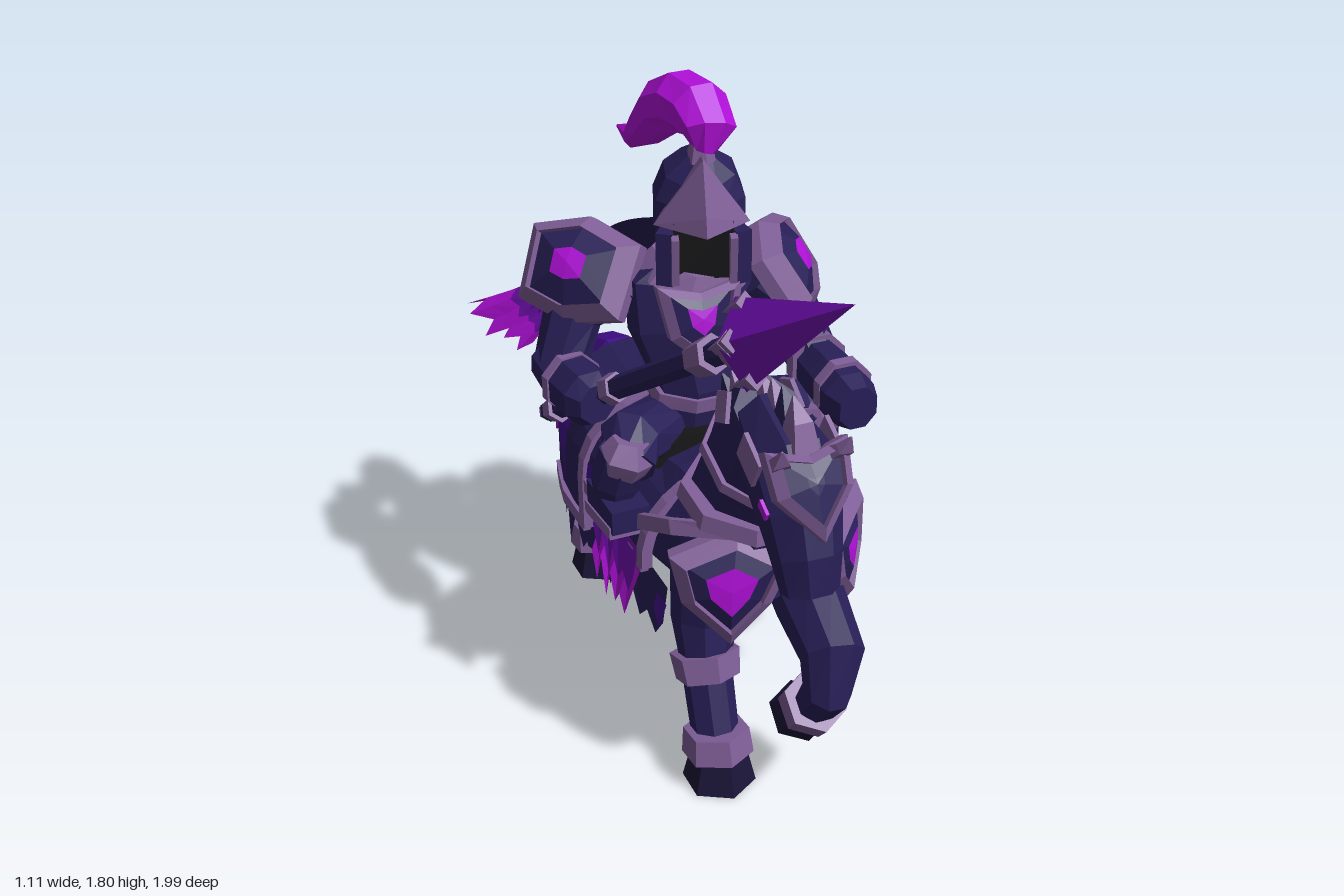
import * as THREE from 'three';
import { ConvexGeometry } from 'three/addons/geometries/ConvexGeometry.js';

const V = (x, y, z) => new THREE.Vector3(x, y, z);
const X = V(1, 0, 0), Z = V(0, 0, 1);

export function createModel() {
  const root = new THREE.Group();
  root.name = 'mountedKnight';
  const mat = (name, color) => Object.assign(
    new THREE.MeshStandardMaterial({ color, flatShading: true, side: THREE.DoubleSide }), { name });
  const navy = mat('navy armour', 0x281f57), lilac = mat('lilac trim', 0x805f98), hoofMat = mat('dark hoof', 0x1b1538),
    black = mat('black', 0x161618), purple = mat('deep purple', 0x430f8c), violet = mat('violet', 0x7010b0),
    magenta = mat('magenta', 0xb010d8);

  const add = (name, geo, m, parent = root) => {
    const mesh = new THREE.Mesh(geo, m);
    mesh.name = name;
    parent.add(mesh);
    return mesh;
  };
  const build = (pos, idx) => {
    const g = new THREE.BufferGeometry();
    g.setAttribute('position', new THREE.Float32BufferAttribute(pos, 3));
    g.setIndex(idx);
    g.computeVertexNormals();
    return g;
  };

  // Closed tube through rows [x, y, z, halfWidth, halfHeight]; an array of materials colours each segment
  function loft(name, m, rows, sides = 8, parent = root, ref = X) {
    const p = rows.map(r => V(r[0], r[1], r[2])), pos = [], idx = [], n = rows.length;
    rows.forEach((r, i) => {
      const t = p[Math.min(i + 1, n - 1)].clone().sub(p[Math.max(i - 1, 0)]).normalize();
      const s = ref.clone().addScaledVector(t, -ref.dot(t)).normalize(), u = t.clone().cross(s);
      for (let j = 0; j < sides; j++) {
        const a = (j + 0.5) / sides * Math.PI * 2;
        const q = p[i].clone().addScaledVector(s, r[3] * Math.cos(a)).addScaledVector(u, (r[4] ?? r[3]) * Math.sin(a));
        pos.push(q.x, q.y, q.z);
      }
    });
    for (let i = 0; i < n - 1; i++) for (let j = 0; j < sides; j++) {
      const a = i * sides + j, b = i * sides + (j + 1) % sides;
      idx.push(a, b, b + sides, a, b + sides, a + sides);
    }
    const e = (n - 1) * sides;
    for (let j = 1; j < sides - 1; j++) idx.push(e, e + j, e + j + 1);
    for (let j = 1; j < sides - 1; j++) idx.push(0, j + 1, j);
    const g = build(pos, idx);
    if (Array.isArray(m)) {
      m.forEach((_, i) => g.addGroup(i * sides * 6, sides * 6, i));
      g.addGroup((n - 1) * sides * 6, Infinity, m.length - 1);
    }
    return add(name, g, m, parent);
  }

  // Open surface from f(u, v)
  function sheet(name, m, f, nu, nv) {
    const pos = [], idx = [];
    for (let j = 0; j <= nv; j++) for (let i = 0; i <= nu; i++) pos.push(...f(i / nu, j / nv, i).toArray());
    for (let j = 0; j < nv; j++) for (let i = 0; i < nu; i++) {
      const a = j * (nu + 1) + i, b = a + nu + 1;
      idx.push(a, b, a + 1, a + 1, b, b + 1);
    }
    return add(name, build(pos, idx), m);
  }

  // Domed armour plate: bright centre, dark field, raised rim
  function shield(name, outline, depth, at, dir, gem = 0.32, gemMat = magenta) {
    const g = new THREE.Group(), n = outline.length;
    g.name = name;
    const ring = (s, z) => outline.map(([x, y]) => [x * s, y * s, z]);
    const rings = [ring(0, depth), ring(gem, depth * 0.9), ring(0.72, depth * 0.5), ring(0.74, depth * 0.5 + 0.02), ring(1, 0.015), ring(1, -0.025), ring(0, 0)];
    [gemMat, navy, lilac, lilac, lilac, lilac].forEach((m, k) => {
      const pos = [...rings[k], ...rings[k + 1]].flat(), idx = [];
      for (let j = 0; j < n; j++) {
        const b = (j + 1) % n;
        idx.push(j, j + n, b + n, j, b + n, b);
      }
      add(name + 'Layer', build(pos, idx), m, g);
    });
    g.position.set(...at);
    g.lookAt(at[0] + dir[0], at[1] + dir[1], at[2] + dir[2]);
    root.add(g);
  }
  const box = (name, m, size, at, rot = [0, 0, 0], parent = root) => {
    const b = add(name, new THREE.BoxGeometry(...size), m, parent);
    b.position.set(...at);
    b.rotation.set(...rot);
  };

  // Horse body, neck and head
  loft('horseBody', navy, [[-.08, .67, -.58, .1, .1], [-.08, .65, -.49, .21, .19], [-.08, .62, -.3, .26, .22], [-.08, .62, 0, .26, .2],
    [-.08, .65, .25, .25, .22], [-.1, .68, .42, .21, .2], [-.1, .7, .55, .12, .12]], 10);
  loft('horseNeck', navy, [[-.1, .7, .36, .18, .2], [-.1, .88, .43, .15, .18], [-.12, 1.03, .51, .12, .17], [-.13, 1.15, .59, .09, .12]]);
  loft('horseHead', navy, [[-.13, 1.13, .55, .085, .1], [-.13, 1.07, .69, .115, .135], [-.13, .97, .76, .105, .115], [-.135, .88, .81, .09, .09], [-.135, .79, .835, .075, .07]]);
  shield('horseFacePlate', [[-.11, .1], [0, .07], [.11, .1], [.1, -.02], [0, -.14], [-.1, -.02]], .035, [-.13, 1.08, .82], [0, .5, .9], .2, navy);
  loft('neckCollar', lilac, [[-.1, .81, .42, .2, .21], [-.1, .855, .425, .19, .2]]);
  loft('neckBand', lilac, [[-.11, .96, .475, .15, .185], [-.11, .985, .485, .145, .18]]);
  for (const s of [-1, 1]) {
    loft('horseEar', lilac, [[-.13 + s * .06, 1.11, .76, .04, .03], [-.13 + s * .085, 1.16, .82, .03, .02], [-.13 + s * .09, 1.2, .84, .003]], 4);
    box('cheekPlate', lilac, [.012, .09, .1], [-.13 + s * .108, 1.11, .7], [.5, 0, 0]);
    box('horseEye', magenta, [.009, .025, .045], [-.13 + s * .105, 1.01, .775], [.5, 0, 0]);
    box('manePlate', lilac, [.012, .08, .07], [-.125 + s * .095, 1.15, .5], [-.4, 0, s * .25]);
  }
  for (let i = 0; i < 8; i++) {
    const k = i / 7, z = .74 - .42 * k, y = 1.2 - .14 * k * k;
    loft('maneSpike', i % 3 === 1 ? navy : lilac, [[-.13 + .02 * k, y - .08, z + .02, .05, .06], [-.13 + .02 * k, y + .01, z, .035, .045], [-.13, y + .065, z - .03, .003]], 4);
  }

  // Limbs with hooves and bands
  const cuff = (name, m, r0, r1, h, at, tilt = 0) => {
    const c = add(name, new THREE.CylinderGeometry(r0, r1, h, 6), m);
    c.position.set(...at);
    c.rotation.x = tilt;
  };
  const legs = [
    ['rightForeleg', -.245, .53, [[-.2, .64, .36, .1, .14], [-.225, .44, .38, .09, .1], [-.24, .32, .43, .07, .07], [-.245, .08, .52, .065, .065]]],
    ['leftHindLeg', .1, -.18, [[.05, .62, -.36, .12, .18], [.09, .42, -.36, .1, .14], [.1, .27, -.29, .07, .085], [.1, .08, -.19, .065, .065]]],
    ['rightHindLeg', -.18, -.59, [[-.18, .62, -.4, .13, .17], [-.19, .38, -.47, .1, .13], [-.185, .25, -.54, .07, .085], [-.18, .08, -.58, .065, .065]]],
  ];
  for (const [name, x, z, rows] of legs) {
    loft(name, navy, rows);
    cuff(name + 'Hoof', hoofMat, .078, .102, .1, [x, .05, z]);
    cuff(name + 'Band', lilac, .092, .1, .075, [x, .12, z - .015], -.15);
  }
  cuff('kneeBand', lilac, .098, .09, .075, [-.24, .32, .43], -.35);
  loft('leftForeleg', navy, [[.02, .64, .38, .1, .14], [0, .55, .58, .095, .11], [-.02, .5, .75, .085, .09], [-.04, .4, .765, .065, .07], [-.05, .29, .69, .06, .055]]);
  cuff('leftForelegBand', lilac, .088, .085, .07, [-.05, .315, .7], .7);
  loft('leftForelegHoof', hoofMat, [[-.05, .3, .69, .065, .065], [-.05, .24, .63, .09, .085]], 6);

  // Tail
  loft('tail', [purple, purple, violet, magenta, magenta], [[-.08, .72, -.51, .06], [-.08, .705, -.62, .1, .1], [-.08, .64, -.75, .12, .125],
    [-.1, .53, -.85, .105, .11], [-.14, .43, -.92, .075, .075], [-.19, .32, -.985, .004]], 8);

  // Saddle cloths: over the back, then hanging straight down
  const taper = z => 1 - Math.max(0, -z - .4) * .9;
  const cloth = (drop, z0, z1, out = 0) => (u, v) => {
    const a = u * 2 - 1, m = Math.abs(a) * (Math.PI / 2 + drop), z = z0 + (z1 - z0) * v, r = (.277 + out) * taper(z);
    return V(-.08 + Math.sign(a) * r * Math.sin(Math.min(m, Math.PI / 2)),
      m < Math.PI / 2 ? .61 + (.225 + out) * Math.cos(m) : .61 - (m - Math.PI / 2) * .3, z);
  };
  const trim = (name, f, path, n, w, h, ref) => loft(name, lilac, Array.from({ length: n + 1 }, (_, i) => {
    const p = f(...path(i / n));
    return [p.x, p.y, p.z, w, h];
  }), 4, root, ref);
  const rear = cloth(.6, -.2, -.56), front = cloth(.1, .28, -.2);
  sheet('rearCloth', navy, rear, 16, 3);
  sheet('frontCloth', navy, front, 16, 3);
  trim('rearClothFrontTrim', rear, t => [t, 0], 16, .03, .022, Z);
  trim('frontClothTrim', front, t => [t, 0], 16, .028, .022, Z);
  for (const [s, u] of [[-1, 0], [1, 1]]) {
    trim('rearHem', rear, t => [u, t], 4, .016, .03, X);
    trim('frontHem', front, t => [u, t], 3, .016, .03, X);
    const patch = cloth(.6, -.36, -.54, .006), spot = cloth(.1, -.06, -.17, .006);
    sheet('rumpPatch', purple, (a, v) => patch(.5 + s * (.24 + (.2 - .14 * v) * a), v), 3, 2);
    sheet('clothSpot', purple, (a, v) => spot(.5 + s * (.4 + .05 * a * (.4 + v)), v), 1, 1);
    loft('chestStrap', lilac, [[-.08 + s * .275, .7, .24, .014, .03], [-.1 + s * .23, .78, .42, .014, .03], [-.1 + s * .08, .81, .57, .014, .03]], 4);
    // Torn skirts under the cloth
    const skirt = (name, m, x, flare, z0, z1, n, top, low, slope) => sheet(name, m, (a, v, i) => V(
      -.08 + s * (x + flare * v) * taper(z0 + (z1 - z0) * a),
      v ? low + slope * a + (i % 2 ? 0 : .08) + .02 * Math.sin(i * 2.3) : top, z0 + (z1 - z0) * a), n * 2, 1);
    skirt('tornSkirt', navy, .25, .015, .38, -.58, 8, .56, .37, -.11);
    skirt('purpleTatters', purple, .262, .01, .4, .33, 1, .52, .41, 0);
    if (s < 0) {
      skirt('violetTatters', violet, .285, .02, .26, -.06, 4, .62, .45, 0);
      skirt('magentaTatters', magenta, .28, .035, .25, -.05, 4, .54, .37, 0);
    }
  }

  // Chest plates of the horse
  shield('rightChestPlate', [[-.16, .1], [.02, .17], [.17, .08], [.11, -.06], [0, -.18], [-.13, -.04]], .05, [-.21, .63, .52], [-.3, .05, 1], .42);
  shield('leftChestPlate', [[-.16, .11], [.02, .12], [.16, .12], [.12, -.04], [0, -.17], [-.12, -.04]], .05, [.1, .67, .53], [.75, .05, .65], .33);

  // Rider's torso and saddle
  loft('saddle', black, [[-.08, .8, -.14, .2, .06], [-.08, .81, .14, .2, .06]]);
  loft('torso', navy, [[-.07, .82, -.02, .17, .12], [-.07, .97, .01, .14, .11], [-.08, 1.14, -.03, .19, .13], [-.09, 1.27, -.05, .18, .12], [-.07, 1.34, -.04, .08, .08]]);
  loft('belt', lilac, [[-.07, .93, 0, .16, .125], [-.07, .97, .005, .155, .125]]);
  loft('collar', lilac, [[-.08, 1.27, -.04, .16, .15], [-.07, 1.325, -.03, .12, .125]]);
  shield('breastPlate', [[-.12, .1], [0, .07], [.12, .1], [.09, -.05], [0, -.13], [-.09, -.05]], .03, [-.11, 1.2, .1], [-.1, .2, 1], .35);

  // Rider's legs
  for (const s of [-1, 1]) {
    const x = o => -.08 + s * o;
    loft('thigh', navy, [[x(.1), .84, 0, .09], [x(.25), .88, .12, .09], [x(.28), .84, .2, .07]]);
    loft('shin', navy, [[x(.285), .88, .17, .07], [x(.3), .78, .14, .07], [x(.3), .67, .12, .05]]);
    loft('kneeGuard', lilac, [[x(.27), .92, .18, .05], [x(.28), .87, .18, .08], [x(.29), .83, .17, .065]], 6);
    box('boot', navy, [.11, .07, .2], [x(.3), .71, .15]);
    box('stirrup', lilac, [.12, .035, .2], [x(.3), .665, .14], [-.1, 0, 0]);
  }

  // Arms and pauldrons
  loft('leftUpperArm', navy, [[.1, 1.24, -.03, .1], [.2, 1.13, 0, .085], [.24, 1, .08, .075]]);
  loft('leftForearm', navy, [[.24, 1, .05, .07, .07], [.24, .99, .2, .08, .085], [.235, .98, .31, .08, .085], [.235, .98, .37, .06, .065]]);
  loft('leftElbowBand', lilac, [[.24, 1, .08, .088, .09], [.24, 1, .12, .088, .09]]);
  loft('leftWristBand', lilac, [[.24, .99, .25, .088, .093], [.24, .99, .28, .086, .09]]);
  loft('rightUpperArm', navy, [[-.24, 1.25, -.12, .1], [-.38, 1.17, -.16, .09], [-.44, 1.02, -.12, .075]]);
  loft('rightForearm', navy, [[-.45, 1.03, -.16, .07], [-.43, 1, -.04, .082], [-.42, 1, .06, .082], [-.41, 1, .1, .06]]);
  loft('rightWristBand', lilac, [[-.435, 1, -.07, .088], [-.43, 1, -.04, .088]]);
  const pad = [[-.17, .09], [.0, .14], [.17, .09], [.16, -.12], [0, -.16], [-.16, -.12]];
  shield('leftPauldron', pad, .085, [.18, 1.255, -.02], [.7, .5, .4], .3);
  shield('rightPauldron', pad, .085, [-.355, 1.285, -.16], [-.62, .5, .5], .3);

  // Helmet, turned slightly to its right
  const head = new THREE.Group();
  head.name = 'helmet';
  head.position.set(-.06, 0, -.02);
  head.rotation.y = -.3;
  root.add(head);
  loft('skull', navy, [[0, 1.29, -.04, .1, .11], [0, 1.4, -.03, .13, .13], [0, 1.5, -.03, .13, .13], [0, 1.57, -.02, .1, .105], [0, 1.62, 0, .035, .04]], 8, head);
  loft('helmetRim', lilac, [[0, 1.29, -.04, .118, .128], [0, 1.315, -.04, .12, .13]], 8, head);
  box('faceOpening', black, [.16, .16, .06], [0, 1.38, .07], [0, 0, 0], head);
  add('visor', new ConvexGeometry([V(0, 1.45, .19), V(0, 1.63, .09), V(-.13, 1.44, .05), V(.13, 1.44, .05), V(0, 1.62, 0), V(0, 1.5, .17)]), lilac, head);
  for (const s of [-1, 1]) {
    box('cheekGuard', navy, [.045, .15, .1], [s * .09, 1.36, .06], [0, s * .35, 0], head);
    box('cheekTrim', lilac, [.02, .14, .03], [s * .078, 1.36, .112], [.15, 0, 0], head);
    box('helmetStud', lilac, [.05, .05, .009], [s * .07, 1.45, -.142], [0, s * -.39 + Math.PI, 0], head);
  }
  cuff('plumeSocket', lilac, .028, .04, .06, [-.06, 1.63, -.01]);
  loft('plume', magenta, [[-.055, 1.63, .0, .03], [-.04, 1.685, -.0, .075, .055], [-.04, 1.72, -.07, .085, .08], [-.055, 1.72, -.15, .085, .085],
    [-.075, 1.68, -.235, .075, .08], [-.1, 1.61, -.3, .055, .06], [-.12, 1.565, -.355, .035, .035], [-.14, 1.575, -.425, .004]], 8);

  // Wind-blown cape in ragged colour bands
  const curve = pts => new THREE.CatmullRomCurve3(pts.map(p => V(...p)));
  const neckLine = curve([[.15, 1.24, -.06], [.07, 1.33, -.15], [-.08, 1.37, -.2], [-.22, 1.36, -.24], [-.36, 1.26, -.26]]);
  const hemLine = curve([[.27, .98, -.1], [.39, .86, -.22], [.5, .8, -.36], [.34, .82, -.5], [.04, .86, -.61], [-.26, .94, -.66], [-.5, 1, -.67], [-.51, 1, -.44], [-.47, 1.02, -.28]]);
  const N = 36;
  const capePoint = (u, v) => {
    const p = neckLine.getPoint(u).lerp(hemLine.getPoint(u), v), f = Math.sin(u * 50) * .02 * v;
    p.y += -.035 * Math.sin(v * Math.PI) + f;
    p.z += f;
    return p;
  };
  const bandEdge = [() => 0, i => .3 + .16 * (i % 2) + .08 * Math.sin(i * 1.9), i => .54 + .08 * (i % 2) + .04 * Math.sin(i * 2.7),
    i => .72 + .06 * (i % 2), i => 1 + (i % 2 ? .1 : -.01) + .03 * Math.sin(i * 3.1)];
  [navy, purple, violet, magenta].forEach((m, k) => sheet('capeBand', m,
    (u, v, i) => capePoint(u, bandEdge[k](i) * (1 - v) + bandEdge[k + 1](i) * v), N, k ? 2 : 4));

  // Lance, built along y and aimed from butt to tip
  const lance = new THREE.Group(), butt = V(-.46, .85, -.18), aim = V(-.13, 1.63, 1).sub(butt), L = aim.length();
  lance.name = 'lance';
  lance.position.copy(butt);
  lance.quaternion.setFromUnitVectors(V(0, 1, 0), aim.normalize());
  root.add(lance);
  const turn = (name, m, r0, r1, y0, y1, sides = 6) =>
    add(name, new THREE.CylinderGeometry(r1, r0, y1 - y0, sides).translate(0, (y0 + y1) / 2, 0), m, lance);
  turn('shaft', navy, .032, .034, 0, .98);
  turn('buttCap', lilac, .025, .045, -.02, .07);
  turn('gripRing', lilac, .045, .042, .36, .4);
  turn('upperRing', lilac, .045, .052, .8, .88);
  turn('headSocket', lilac, .04, .08, .93, 1.02, 4);
  [[magenta, 0], [violet, Math.PI]].forEach(([m, a]) =>
    add('lanceBlade', new THREE.ConeGeometry(.115, L - 1, 2, 1, true, a, Math.PI).scale(.6, 1, 1).translate(0, (L + 1) / 2, 0), m, lance));
  for (let i = 0; i < 4; i++) {
    const a = i * Math.PI / 2;
    const barb = add('barb', new THREE.ConeGeometry(.03, .11, 4).rotateX(Math.PI), lilac, lance);
    barb.position.set(Math.sin(a) * .055, .99, Math.cos(a) * .09);
  }
  return root;
}
